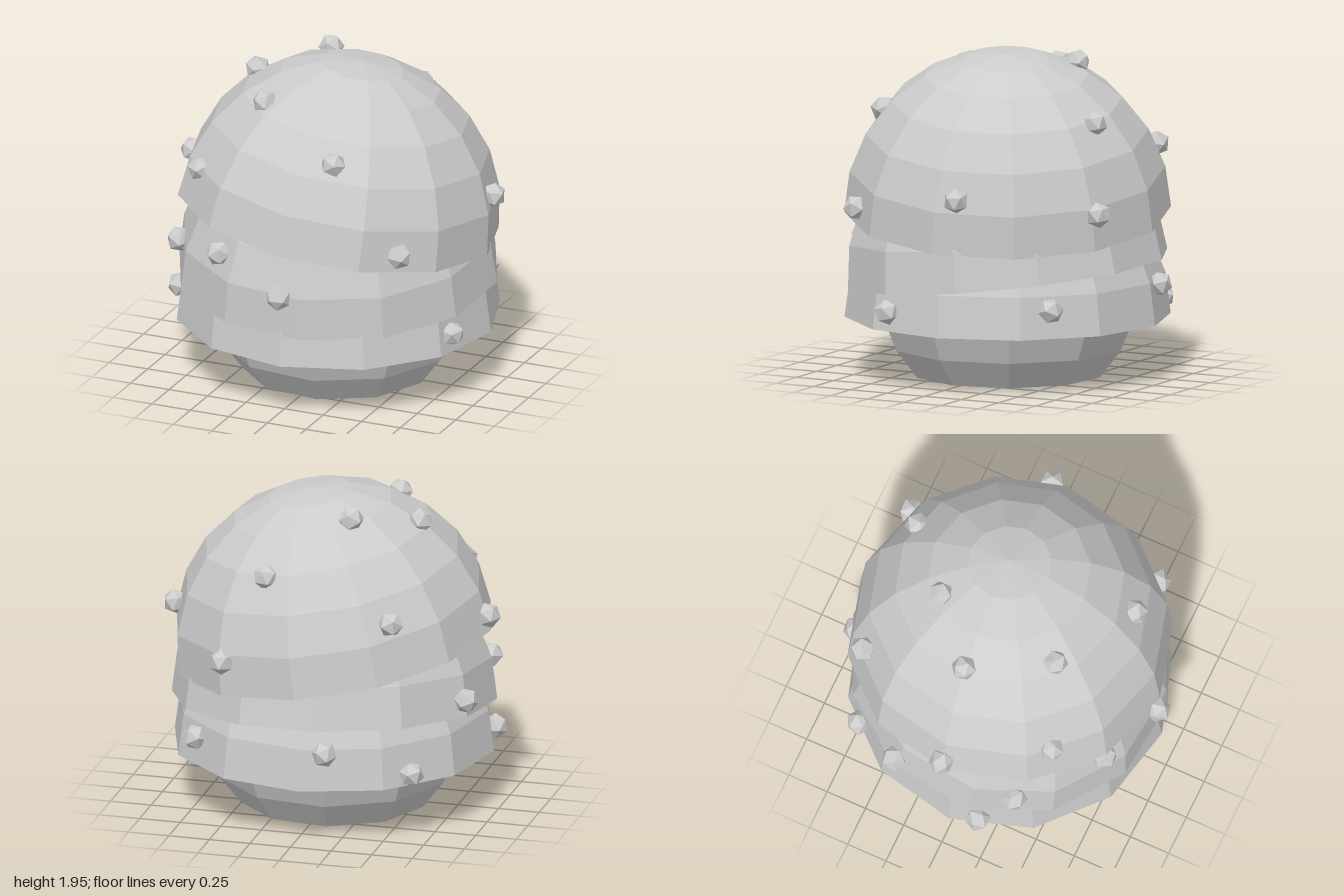
import * as THREE from 'three';

const material = new THREE.MeshStandardMaterial({ color: 0xcccccc, flatShading: true });
const shellMaterial = new THREE.MeshStandardMaterial({ color: 0xcccccc, flatShading: true, side: THREE.DoubleSide });
const UP = new THREE.Vector3(0, 1, 0);
const rad = THREE.MathUtils.degToRad;

// Open half-dome whose rim plane is square to the given axis
function makeShell(name, y, axis, yaw) {
  const geometry = new THREE.SphereGeometry(0.97, 12, 6, 0, Math.PI * 2, 0, Math.PI / 2);
  geometry.rotateY(rad(yaw));
  const mesh = new THREE.Mesh(geometry, shellMaterial);
  mesh.name = name;
  mesh.quaternion.setFromUnitVectors(UP, new THREE.Vector3(...axis).normalize());
  mesh.position.set(0.005, y, -0.02);
  return mesh;
}

// Ball cut flat at the ground
function makeBody() {
  const body = new THREE.Group();
  body.name = 'body';
  const radius = 0.806, cut = radius * Math.SQRT1_2;
  const ball = new THREE.Mesh(new THREE.SphereGeometry(radius, 10, 9, 0, Math.PI * 2, 0, rad(135)), material);
  ball.name = 'bodyBall';
  ball.position.y = cut;
  const base = new THREE.Mesh(new THREE.CircleGeometry(cut, 10).rotateX(Math.PI / 2), material);
  base.name = 'bodyBase';
  body.add(ball, base);
  body.rotation.y = rad(-7);
  body.position.set(0.005, 0, -0.025);
  return body;
}

// Stud centres, from the top shell down to the bottom one
const studs = [
  [-0.2, 1.87, -0.38], [-0.54, 1.79, -0.07], [-0.28, 1.79, 0.41], [0.28, 1.575, 0.67],
  [0.23, 1.585, -0.73], [-0.64, 1.36, 0.55], [-0.54, 1.36, -0.73], [-0.945, 1.22, -0.03],
  [0.94, 1.18, -0.18], [0.46, 1.08, -0.88], [0.69, 1.04, 0.63],
  [-0.41, 0.94, 0.79], [-0.84, 0.82, 0.4], [-0.9, 0.79, -0.36], [0.04, 0.78, 0.93],
  [-0.19, 0.58, -0.94], [0.68, 0.52, -0.68], [0.89, 0.465, 0.31], [-0.925, 0.445, 0.2], [-0.66, 0.42, -0.7],
];

export function createModel() {
  const model = new THREE.Group();
  model.name = 'studdedDome';
  model.add(
    makeBody(),
    makeShell('bottomShell', 0.35, [0, 1, 0], 3),
    makeShell('middleShell', 0.63, [0.025, 1, 0.1], 10),
    makeShell('topShell', 0.985, [0.14, 1, -0.07], 1),
  );

  const studGeometry = new THREE.IcosahedronGeometry(0.078, 0);
  studs.forEach((p, i) => {
    const stud = new THREE.Mesh(studGeometry, material);
    stud.name = `stud${i + 1}`;
    stud.position.set(...p);
    stud.rotation.set(i * 1.3, i * 2.1, i * 0.7);
    model.add(stud);
  });
  return model;
}
